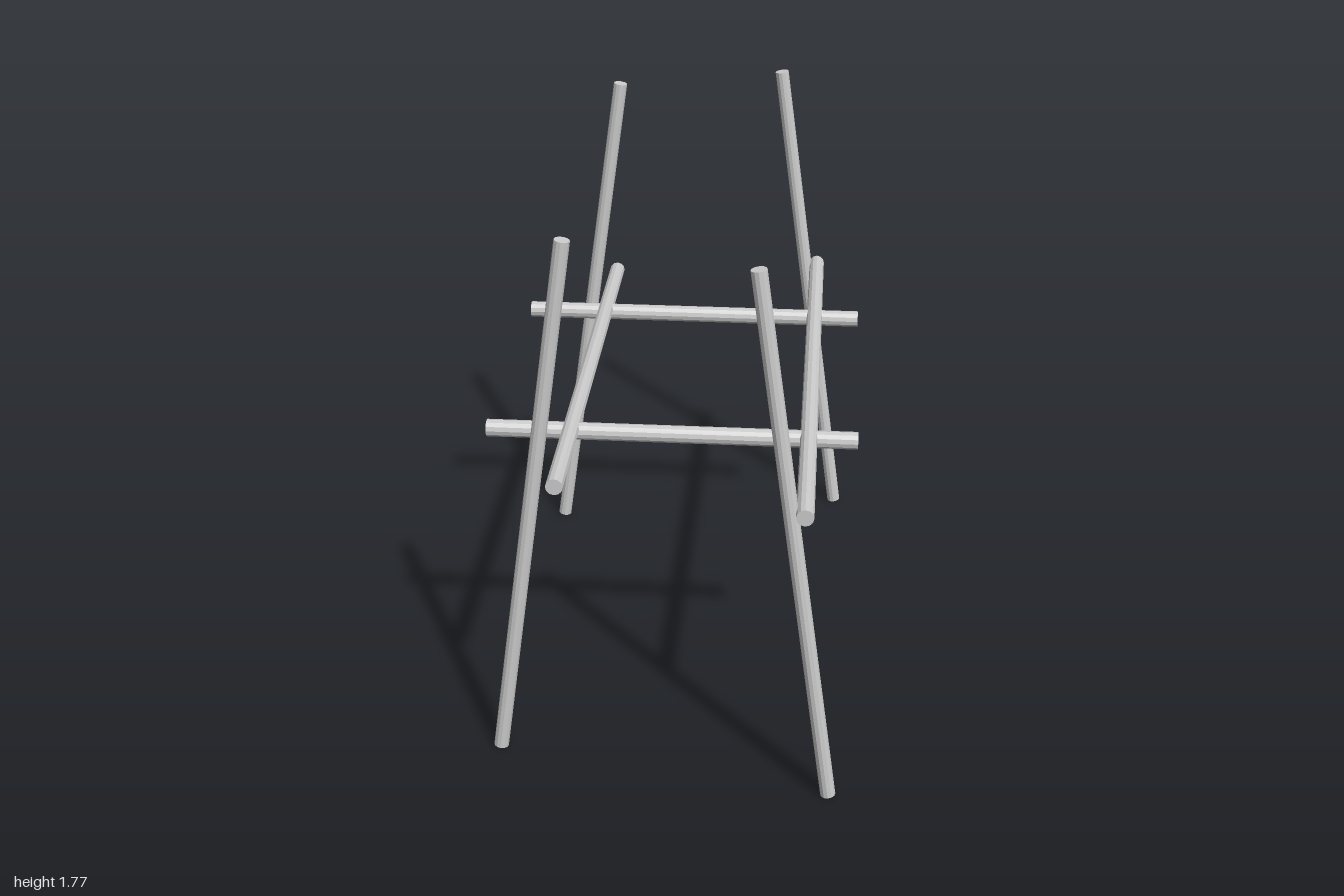
import * as THREE from 'three';

const material = new THREE.MeshStandardMaterial({ color: 0xcccccc, flatShading: true });

// A straight round pole between two points
function pole(name, from, to, radius) {
  const a = new THREE.Vector3(...from);
  const b = new THREE.Vector3(...to);
  const dir = b.clone().sub(a);
  const mesh = new THREE.Mesh(new THREE.CylinderGeometry(radius, radius, dir.length(), 12), material);
  mesh.name = name;
  mesh.position.copy(a).add(b).multiplyScalar(0.5);
  mesh.quaternion.setFromUnitVectors(new THREE.Vector3(0, 1, 0), dir.normalize());
  return mesh;
}

export function createModel() {
  const model = new THREE.Group();
  model.name = 'poleFrame';

  // Uprights leaning inward; the left pair stands further apart
  const uprights = [
    ['leftFrontUpright', 1, 0.955],
    ['leftBackUpright', 1, -0.975],
    ['rightFrontUpright', -1, 0.775],
    ['rightBackUpright', -1, -0.78],
  ];
  for (const [name, side, z] of uprights) {
    model.add(pole(name, [side * 0.533, 0.004, z], [side * 0.286, 1.772, z], 0.024));
  }

  // Long rails running front to back
  model.add(pole('leftRail', [0.435, 1.018, -1], [0.435, 1.018, 1], 0.027));
  model.add(pole('rightRail', [-0.318, 1.018, -0.87], [-0.318, 1.018, 0.87], 0.027));

  // Crossbars running side to side
  for (const [name, z] of [['frontCrossbar', 0.465], ['backCrossbar', -0.498]]) {
    model.add(pole(name, [-0.59, 1.004, z], [0.59, 1.004, z], 0.028));
  }
  return model;
}
